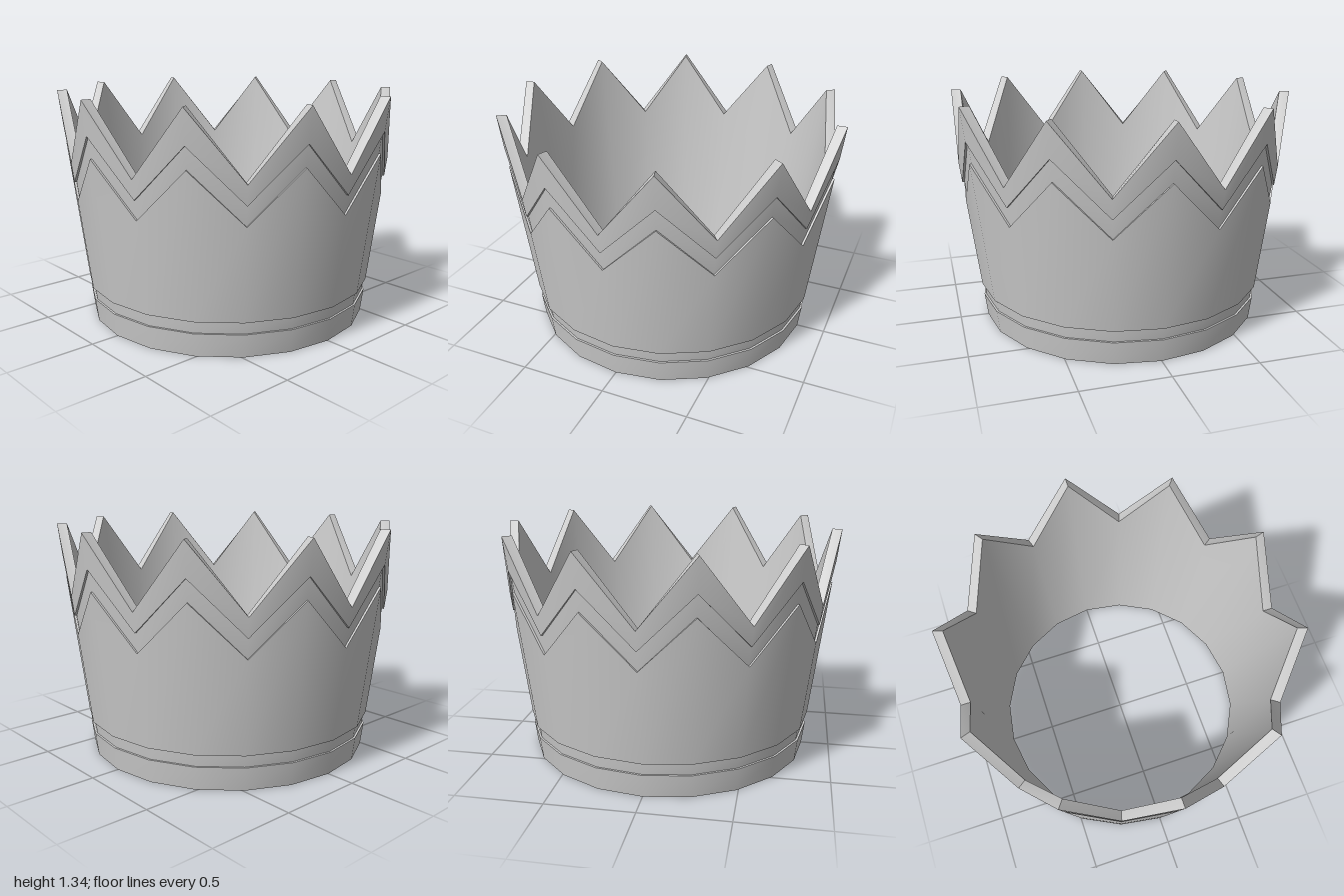
import * as THREE from 'three';
import { toCreasedNormals } from 'three/addons/utils/BufferGeometryUtils.js';

const SIDES = 20; // even columns are peaks, odd columns are valleys
const GROOVE = 0.012;

// The wall flares linearly with height, outside and inside
const outer = (y) => 0.835 + 0.123 * y;
const inner = (y) => 0.778 + 0.123 * y;

// Profile points: height at peaks, height at valleys, radius rule
const out = (peak, valley = peak) => ({ peak, valley, radius: outer });
const cut = (peak, valley = peak) => ({ peak, valley, radius: (y) => outer(y) - GROOVE });
const ins = (peak, valley = peak) => ({ peak, valley, radius: inner });

// Sweeps a profile around the ring, zigzagging between peak and valley heights
function ring(name, profile, material) {
  const positions = [];
  const index = [];
  for (const p of profile) {
    for (let i = 0; i < SIDES; i++) {
      const a = (i / SIDES) * Math.PI * 2;
      const y = i % 2 ? p.valley : p.peak;
      const r = p.radius(y);
      positions.push(r * Math.sin(a), y, r * Math.cos(a));
    }
  }
  for (let j = 0; j < profile.length - 1; j++) {
    for (let i = 0; i < SIDES; i++) {
      const n = (i + 1) % SIDES;
      const a = j * SIDES + i, b = j * SIDES + n;
      const c = a + SIDES, d = b + SIDES;
      index.push(a, b, d, a, d, c);
    }
  }
  const geometry = new THREE.BufferGeometry();
  geometry.setAttribute('position', new THREE.Float32BufferAttribute(positions, 3));
  geometry.setIndex(index);
  const mesh = new THREE.Mesh(toCreasedNormals(geometry, Math.PI / 6), material);
  mesh.name = name;
  return mesh;
}

export function createModel() {
  const group = new THREE.Group();
  group.name = 'crown';
  const material = new THREE.MeshStandardMaterial({ color: 0xcccccc });

  // Heights where the zigzag lines run: peak, valley
  const bodyTop = [1.03, 0.74];
  const bandBottom = [1.15, 0.85];
  const rim = [1.34, 0.96];

  group.add(
    // Foot with its underside and upper ledge
    ring('baseBand', [ins(0), out(0), out(0.135), cut(0.135)], material),
    // Recessed straight channel
    ring('baseGroove', [cut(0.135), cut(0.205)], material),
    // Main wall with ledges into both channels
    ring('body', [cut(0.205), out(0.205), out(...bodyTop), cut(...bodyTop)], material),
    // Recessed zigzag channel
    ring('zigzagGroove', [cut(...bodyTop), cut(...bandBottom)], material),
    // Points of the crown, including the top edge
    ring('pointedBand', [cut(...bandBottom), out(...bandBottom), out(...rim), ins(...rim)], material),
    // Inside wall
    ring('innerWall', [ins(...rim), ins(0)], material),
  );
  return group;
}
